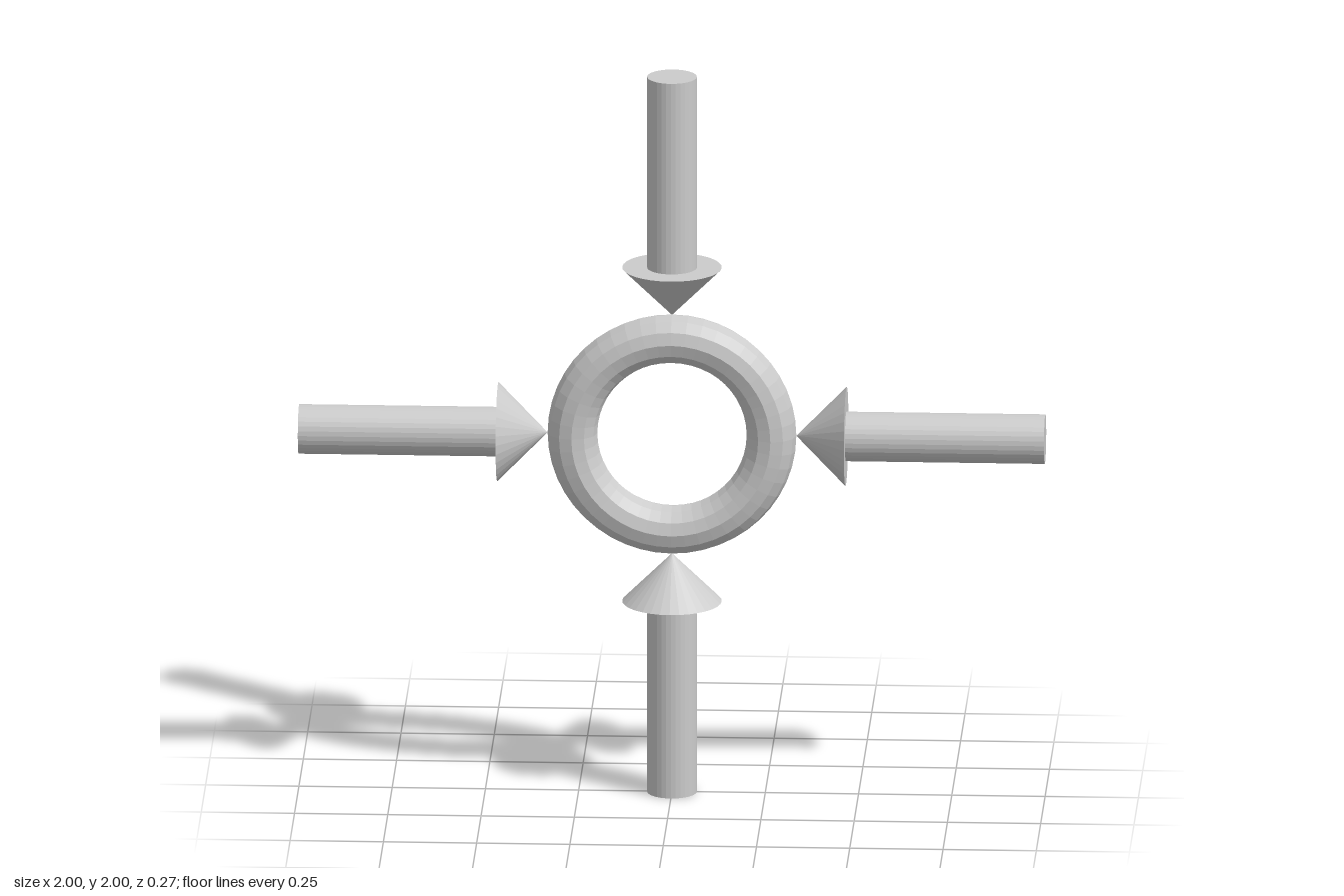
import * as THREE from 'three';

export function createModel() {
  const model = new THREE.Group();
  const material = new THREE.MeshStandardMaterial({ color: 0xcccccc, flatShading: true });
  const centreY = 1;

  const addMesh = (parent, geometry, name, y) => {
    const mesh = new THREE.Mesh(geometry, material);
    mesh.name = name;
    mesh.position.y = y;
    parent.add(mesh);
  };

  // Upright ring in the middle
  addMesh(model, new THREE.TorusGeometry(0.2667, 0.0667, 12, 48), 'ring', centreY);

  // Arrows pointing inward, their tips touching the ring
  const tip = 0.3333, headBase = 0.4667, end = 1;
  const headGeometry = new THREE.ConeGeometry(0.1333, headBase - tip, 32).rotateX(Math.PI);
  const shaftGeometry = new THREE.CylinderGeometry(0.0667, 0.0667, end - headBase, 32);

  ['top', 'right', 'bottom', 'left'].forEach((side, i) => {
    const arrow = new THREE.Group();
    arrow.name = `${side}Arrow`;
    addMesh(arrow, headGeometry, 'arrowHead', (tip + headBase) / 2);
    addMesh(arrow, shaftGeometry, 'arrowShaft', (headBase + end) / 2);
    arrow.position.y = centreY;
    arrow.rotation.z = i * Math.PI / 2;
    model.add(arrow);
  });

  return model;
}
